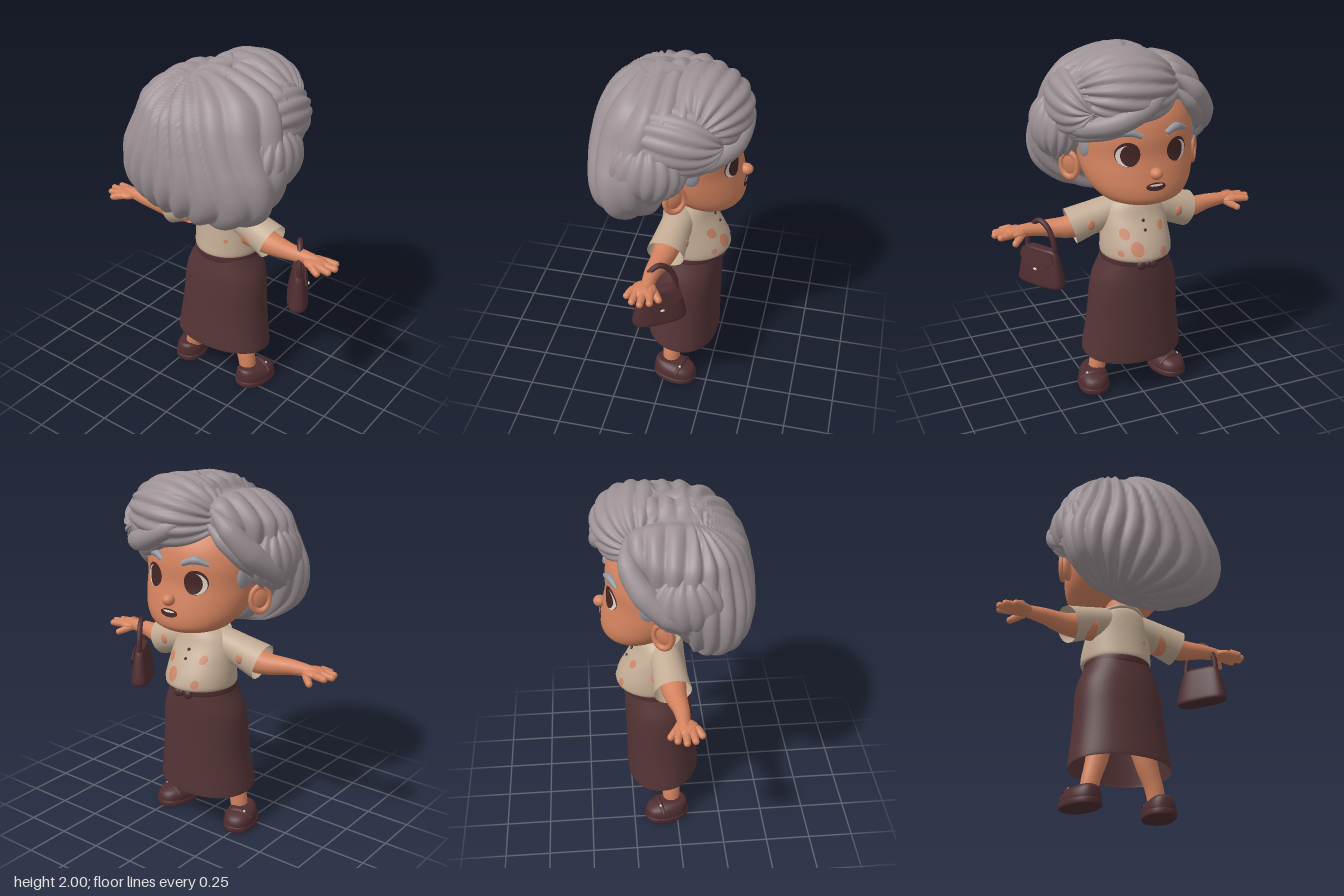
import * as THREE from 'three';
import { mergeVertices } from 'three/addons/utils/BufferGeometryUtils.js';

const mat = (name, color) => {
  const m = new THREE.MeshStandardMaterial({ color, side: THREE.DoubleSide });
  m.name = name;
  return m;
};

// One component of a smooth curve through the listed cross-sections
const cr = (a, b, c, d, t) => 0.5 * (2 * b + (c - a) * t + (2 * a - 5 * b + 4 * c - d) * t * t + (3 * b - a - 3 * c + d) * t * t * t);

// Section = [y, centre x, half width, front z, back z]
function sample(secs, t) {
  const n = secs.length - 1, f = Math.min(t, 0.99999) * n, i = Math.floor(f);
  const g = k => secs[Math.max(0, Math.min(n, k))];
  return secs[0].map((_, k) => cr(g(i - 1)[k], g(i)[k], g(i + 1)[k], g(i + 2)[k], f - i));
}

// Stack of super-elliptic rings
function loft(secs, { n = 40, rows = 24, e = 2, caps = true } = {}) {
  const pos = [], idx = [];
  for (let i = 0; i <= rows; i++) {
    const [y, cx, hx, zf, zb] = sample(secs, i / rows);
    for (let j = 0; j < n; j++) {
      const a = j / n * Math.PI * 2, s = Math.sin(a), c = Math.cos(a);
      pos.push(cx + hx * Math.sign(s) * Math.abs(s) ** (2 / e), y,
        (zf + zb) / 2 + (zb - zf) / 2 * Math.sign(c) * Math.abs(c) ** (2 / e));
      if (i < rows) {
        const p = i * n + j, q = i * n + (j + 1) % n;
        idx.push(p, q, q + n, p, q + n, p + n);
      }
    }
  }
  if (caps) [0, rows].forEach((r, k) => {
    const [y, cx, , zf, zb] = sample(secs, r / rows), v = pos.length / 3;
    pos.push(cx, y, (zf + zb) / 2);
    for (let j = 0; j < n; j++) {
      const p = r * n + j, q = r * n + (j + 1) % n;
      k ? idx.push(p, q, v) : idx.push(q, p, v);
    }
  });
  const g = new THREE.BufferGeometry();
  g.setAttribute('position', new THREE.Float32BufferAttribute(pos, 3));
  g.setIndex(idx);
  g.computeVertexNormals();
  return g;
}

// z of a loft's front (-1) or back (+1) surface at x, y
function surfaceZ(secs, x, y, side) {
  let lo = 0, hi = 1;
  for (let i = 0; i < 24; i++) {
    const m = (lo + hi) / 2;
    sample(secs, m)[0] < y ? lo = m : hi = m;
  }
  const [, cx, hx, zf, zb] = sample(secs, lo);
  return (zf + zb) / 2 + side * (zb - zf) / 2 * Math.sqrt(Math.max(0, 1 - ((x - cx) / hx) ** 2));
}

// Thin oval laid over a loft
function patch(secs, x, y, rx, ry, lift, side = -1) {
  const g = new THREE.RingGeometry(0.001, 1, 28, 5).scale(rx, ry, 1).translate(x, y, 0);
  const p = g.attributes.position;
  for (let i = 0; i < p.count; i++) p.setZ(i, surfaceZ(secs, p.getX(i), p.getY(i), side) + side * lift);
  if (side < 0) g.index.array.reverse();
  g.computeVertexNormals();
  return g;
}

// Tube with a changing radius
function sweep(pts, radii, n = 14, seg = 20) {
  const curve = new THREE.CatmullRomCurve3(pts.map(p => new THREE.Vector3(...p)));
  let g = new THREE.TubeGeometry(curve, seg, 1, n);
  const p = g.attributes.position, v = new THREE.Vector3();
  for (let i = 0; i < p.count; i++) {
    const t = Math.floor(i / (n + 1)) / seg, c = curve.getPointAt(t);
    const f = t * (radii.length - 1), k = Math.min(Math.floor(f), radii.length - 2);
    v.fromBufferAttribute(p, i).sub(c).multiplyScalar(radii[k] + (radii[k + 1] - radii[k]) * (f - k)).add(c);
    p.setXYZ(i, v.x, v.y, v.z);
  }
  g.deleteAttribute('normal');
  g.deleteAttribute('uv');
  g = mergeVertices(g, 1e-5);
  g.computeVertexNormals();
  return g;
}

// Push the surface along its normals by a rule
function displace(g, rule) {
  const p = g.attributes.position, m = g.attributes.normal;
  for (let i = 0; i < p.count; i++) {
    const d = rule(p.getX(i), p.getY(i), p.getZ(i));
    p.setXYZ(i, p.getX(i) + m.getX(i) * d, p.getY(i) + m.getY(i) * d, p.getZ(i) + m.getZ(i) * d);
  }
  g.computeVertexNormals();
  return g;
}

const ball = (x, y, z, rx, ry = rx, rz = rx) => new THREE.SphereGeometry(1, 20, 12).scale(rx, ry, rz).translate(x, y, z);

// Rounded strand profile with sharp valleys, and an egg of strands running between its poles
const groove = a => Math.abs(Math.sin(a)) - 0.6;
function lobe(center, half, axis, count, twist) {
  const g = displace(new THREE.SphereGeometry(1, 120, 32), (x, y, z) =>
    0.08 * groove(Math.atan2(z, x) * count + y * twist) * Math.min(1, Math.hypot(x, z) / 0.4));
  if (axis === 'x') g.rotateZ(-Math.PI / 2);
  if (axis === 'z') g.rotateX(Math.PI / 2);
  g.scale(...half).translate(...center).computeVertexNormals();
  return g;
}

export function createModel() {
  const root = new THREE.Group();
  root.name = 'grandmother';
  const hair = mat('hair grey', 0x9c9195), skin = mat('skin', 0xd4835f), shirt = mat('shirt beige', 0xc2ab94);
  const skirt = mat('skirt brown', 0x553436), leather = mat('leather brown', 0x4f2d30), spot = mat('spot coral', 0xcb8668);
  const white = mat('eye white', 0xddd3c8), dark = mat('eye brown', 0x452625), brow = mat('brow grey', 0x95969e);
  const add = (name, g, m, parent = root) => {
    const o = new THREE.Mesh(g, m);
    o.name = name;
    parent.add(o);
    return o;
  };

  // Head and face
  const head = [[1.185, 0, 0.07, -0.31, -0.17], [1.2, 0, 0.15, -0.355, -0.1], [1.23, 0, 0.22, -0.388, -0.04], [1.29, 0, 0.275, -0.393, 0.05],
    [1.37, 0, 0.305, -0.38, 0.12], [1.46, 0, 0.315, -0.362, 0.15], [1.56, 0, 0.315, -0.36, 0.15], [1.66, 0, 0.29, -0.335, 0.14],
    [1.75, 0, 0.22, -0.27, 0.08], [1.8, 0, 0.1, -0.15, 0]];
  add('head', loft(head, { n: 56, rows: 40 }), skin);
  add('nose', ball(0, 1.38, -0.392, 0.034, 0.031, 0.036), skin);
  add('mouth', patch(head, 0, 1.31, 0.055, 0.022, 0.003), dark);
  add('teeth', patch(head, 0, 1.319, 0.038, 0.006, 0.006), white);
  add('neck', sweep([[0, 1.08, -0.08], [0, 1.16, -0.08], [0, 1.26, -0.1]], [0.085, 0.075, 0.08]), skin);
  for (const s of [-1, 1]) {
    add('lashes', patch(head, s * 0.136, 1.483, 0.062, 0.064, 0.002), dark);
    add('eyeWhite', patch(head, s * 0.139, 1.476, 0.055, 0.055, 0.004), white);
    add('iris', patch(head, s * 0.127, 1.478, 0.046, 0.056, 0.006), dark);
    add('eyebrow', sweep([[0.065, 1.578], [0.13, 1.6], [0.2, 1.578]].map(([x, y]) => [s * x, y, surfaceZ(head, x, y, -1) - 0.005]),
      [0.014, 0.022, 0.01]), brow);
    add('temple', ball(s * 0.29, 1.5, -0.14, 0.03, 0.08, 0.06), brow);
    const ear = add('ear', ball(0, 0, 0, 0.03, 0.078, 0.058), skin);
    ear.position.set(s * 0.345, 1.375, -0.07);
    ear.rotation.set(0, s * 0.6, -s * 0.15);
    const rim = add('earRim', new THREE.TorusGeometry(0.052, 0.014, 8, 24).scale(1, 1.3, 1), skin);
    rim.position.set(s * 0.36, 1.378, -0.085);
    rim.rotation.y = Math.PI / 2 + s * 0.6;
  }

  // Hair mass with strands combed away from the parting
  const mass = [[1.17, 0.01, 0.1, 0.06, 0.2], [1.185, 0.02, 0.24, 0.03, 0.28], [1.22, 0.02, 0.33, 0.01, 0.34], [1.3, 0.02, 0.425, -0.02, 0.395],
    [1.4, 0.02, 0.47, -0.07, 0.42], [1.51, 0.02, 0.48, -0.13, 0.418], [1.6, 0.02, 0.46, -0.2, 0.405], [1.69, 0.02, 0.435, -0.27, 0.385],
    [1.78, 0.02, 0.41, -0.3, 0.35], [1.86, 0.04, 0.345, -0.31, 0.29], [1.91, 0.05, 0.265, -0.29, 0.225], [1.95, 0.05, 0.16, -0.25, 0.15],
    [1.975, 0.05, 0.06, -0.18, 0.05]];
  add('hair', displace(loft(mass, { n: 230, rows: 60, e: 2.15 }), (x, y, z) => {
    const dx = x + 0.13, far = Math.min(1, Math.hypot(dx, Math.max(0, z - 0.08)) / 0.12);
    const s = z > 0.08 ? Math.atan2(dx, z - 0.08) : Math.sign(dx) * (Math.PI / 2 + (0.08 - z) * 3.2);
    const parting = 0.04 * Math.exp(-((dx / 0.04) ** 2)) * THREE.MathUtils.smoothstep(y, 1.72, 1.88);
    return 0.026 * far * groove(s * 11 + 0.9 * Math.sin(y * 7 + s * 2)) - parting;
  }), hair);

  // Swept quiff, the roll beside it, and the fuller sides above the ears
  add('quiff', lobe([0.09, 1.785, -0.18], [0.275, 0.207, 0.245], 'x', 8, 1.2), hair);
  add('hairRoll', lobe([0.315, 1.71, -0.07], [0.15, 0.185, 0.245], 'z', 7, 1.5), hair);
  add('hairSide', lobe([0.38, 1.565, 0.05], [0.135, 0.17, 0.2], 'y', 8, 1), hair);
  add('hairSide', lobe([-0.345, 1.57, 0.04], [0.13, 0.17, 0.2], 'y', 8, -1), hair);

  // Separate locks around the hairline
  const locks = [
    [[[-0.12, 1.84, -0.3], [0.03, 1.74, -0.38], [0.2, 1.66, -0.35], [0.34, 1.62, -0.24], [0.42, 1.6, -0.08]], 0.062],
    [[[-0.1, 1.8, -0.3], [0.06, 1.69, -0.34], [0.2, 1.61, -0.3], [0.32, 1.57, -0.2], [0.4, 1.53, -0.04]], 0.045],
    [[[-0.14, 1.86, -0.24], [-0.26, 1.77, -0.25], [-0.35, 1.64, -0.18], [-0.41, 1.52, -0.05], [-0.42, 1.42, 0.08]], 0.068],
    [[[-0.13, 1.8, -0.26], [-0.24, 1.7, -0.26], [-0.32, 1.6, -0.19], [-0.36, 1.51, -0.08], [-0.38, 1.42, 0.05]], 0.045]];
  locks.forEach(([p, r]) => add('hairLock', sweep(p, [0.004, r * 0.8, r, r * 0.85, 0.004], 16, 32), hair));

  // Blouse
  const torso = [[0.845, 0, 0.178, -0.285, 0.07], [0.86, 0, 0.195, -0.322, 0.08], [0.92, 0, 0.195, -0.308, 0.072], [1, 0, 0.187, -0.265, 0.062],
    [1.07, 0, 0.178, -0.222, 0.055], [1.13, 0, 0.15, -0.195, 0.045], [1.165, 0, 0.1, -0.17, 0.025], [1.18, 0, 0.06, -0.14, 0]];
  add('blouse', loft(torso, { n: 48, rows: 32 }), shirt);
  const collar = new THREE.Group();
  collar.name = 'collar';
  collar.position.set(0, 1.142, -0.092);
  collar.rotation.x = -0.36;
  root.add(collar);
  const wrap = Math.PI * 2 - 0.4;
  add('collarBand', new THREE.CylinderGeometry(0.085, 0.137, 0.06, 40, 3, true, Math.PI + 0.2, wrap), shirt, collar);
  add('collarEdge', new THREE.TorusGeometry(0.136, 0.01, 8, 40, wrap).rotateZ(-Math.PI / 2 + 0.2).rotateX(Math.PI / 2).translate(0, -0.03, 0), shirt, collar);
  [[0.06, 0.925, 0.034], [-0.09, 0.895, 0.02], [0.11, 1.0, 0.025], [-0.1, 1.02, 0.02], [0.14, 0.9, 0.014]]
    .forEach(([x, y, r]) => add('spot', patch(torso, x, y, r, r * 1.15, 0.003), spot));
  add('spot', patch(torso, 0.09, 0.955, 0.012, 0.012, 0.003, 1), spot);
  add('placket', patch(torso, 0, 0.97, 0.014, 0.1, 0.004), shirt);
  [1.06, 1.015].forEach(y => add('button', ball(0, y, surfaceZ(torso, 0, y, -1) - 0.002, 0.009), dark));

  // Skirt with a tilted hem, and belt with a bow
  const skirtSecs = [[0.235, 0, 0.29, -0.27, 0.14], [0.26, 0, 0.289, -0.272, 0.14], [0.38, 0, 0.272, -0.272, 0.126], [0.5, 0, 0.258, -0.273, 0.115],
    [0.62, 0, 0.25, -0.275, 0.105], [0.71, 0, 0.234, -0.277, 0.095], [0.79, 0, 0.2, -0.277, 0.08], [0.85, 0, 0.176, -0.275, 0.068]];
  const skirtGeo = loft(skirtSecs, { n: 56, rows: 32, e: 2.15, caps: false }), sp = skirtGeo.attributes.position;
  for (let i = 0; i < sp.count; i++) sp.setY(i, sp.getY(i) + (sp.getZ(i) + 0.065) * 0.12 * Math.max(0, (0.85 - sp.getY(i)) / 0.6));
  skirtGeo.computeVertexNormals();
  add('skirt', skirtGeo, skirt);
  add('belt', loft([[0.815, 0, 0.186, -0.285, 0.076], [0.82, 0, 0.189, -0.288, 0.079], [0.85, 0, 0.184, -0.29, 0.078], [0.856, 0, 0.178, -0.287, 0.074]], { rows: 8 }), leather);
  add('bowKnot', ball(0, 0.832, -0.297, 0.018, 0.02, 0.016), leather);

  for (const s of [-1, 1]) {
    add('bowLoop', ball(s * 0.034, 0.825, -0.288, 0.028, 0.026, 0.018), leather);

    // Sleeves, arms and hands
    add('sleeve', sweep([[s * 0.08, 1.085, -0.06], [s * 0.2, 1.052, -0.045], [s * 0.345, 1.006, -0.03]], [0.085, 0.09, 0.102], 28), shirt);
    add('sleeveSpot', ball(s * 0.26, 1.035, -0.124, 0.026, 0.03, 0.014), spot);
    add('arm', sweep([[s * 0.2, 1.02, -0.03], [s * 0.36, 1, -0.02], [s * 0.5, 1.008, 0], [s * 0.61, 1.012, 0.002], [s * 0.66, 1.012, 0.005]],
      [0.076, 0.07, 0.058, 0.046, 0.037, 0.028], 20), skin);
    add('palm', ball(s * 0.645, 1.008, 0.012, 0.068, 0.028, 0.066), skin);
    [[0.695, 0.998, 0.088], [0.74, 1.003, 0.05], [0.755, 1.006, 0.005], [0.735, 1.006, -0.04], [0.665, 0.972, -0.07]].forEach(([x, y, z], i) => {
      const r = 0.021, base = i === 4 ? [s * 0.61, 1, -0.02] : [s * 0.65, 1.01, z * 0.7 + 0.004];
      add(i === 4 ? 'thumb' : 'finger', sweep([base, [s * x, y, z]], [r, r, r * 0.85], 10, 6), skin);
      add('fingertip', ball(s * x, y, z, r * 0.87), skin);
    });

    // Legs and shoes
    add('leg', sweep([[s * 0.12, 0.45, -0.06], [s * 0.15, 0.28, -0.04], [s * 0.19, 0.15, -0.03], [s * 0.205, 0.06, -0.03]], [0.08, 0.065, 0.052, 0.048]), skin);
    const shoe = new THREE.Group();
    shoe.name = 'shoe';
    shoe.position.set(s * 0.232, 0, -0.055);
    shoe.rotation.y = -s * 0.25;
    root.add(shoe);
    add('shoeUpper', loft([[0.02, 0, 0.084, -0.128, 0.118], [0.05, 0, 0.086, -0.13, 0.12], [0.08, 0, 0.078, -0.115, 0.118],
      [0.1, 0, 0.062, -0.075, 0.112], [0.11, 0, 0.045, -0.035, 0.1]], { e: 2.3, rows: 16 }), leather, shoe);
    add('sole', loft([[0, 0, 0.083, -0.127, 0.118], [0.008, 0, 0.09, -0.133, 0.124], [0.03, 0, 0.09, -0.133, 0.124], [0.036, 0, 0.084, -0.128, 0.12]], { e: 2.3, rows: 8 }), leather, shoe);
    add('shoeStrap', sweep([[-0.075, 0.07, -0.045], [-0.03, 0.1, -0.05], [0.03, 0.1, -0.05], [0.075, 0.07, -0.045]], [0.014, 0.016, 0.014], 10), leather, shoe);
    add('buckle', ball(s * 0.04, 0.108, -0.055, 0.007), white, shoe);
  }

  // Handbag hanging aslant from one arm
  const bag = new THREE.Group();
  bag.name = 'handbag';
  bag.position.set(0.515, 0, -0.036);
  bag.rotation.y = 0.56;
  root.add(bag);
  add('bagBody', loft([[0.7, 0, 0.045, -0.13, 0.13], [0.712, 0, 0.058, -0.148, 0.148], [0.75, 0, 0.056, -0.145, 0.145], [0.82, 0, 0.046, -0.13, 0.13],
    [0.89, 0, 0.034, -0.112, 0.112], [0.915, 0, 0.022, -0.095, 0.095]], { e: 2.8 }), leather, bag);
  const flapShape = new THREE.Shape([[-0.1, 0.1], [-0.115, 0.05], [-0.06, 0], [0, -0.02], [0.06, 0], [0.115, 0.05], [0.1, 0.1]].map(p => new THREE.Vector2(...p)));
  const flap = add('bagFlap', new THREE.ExtrudeGeometry(flapShape, { depth: 0.008, bevelEnabled: false }).rotateY(Math.PI / 2), leather, bag);
  flap.position.set(0.046, 0.81, 0);
  flap.rotation.z = 0.17;
  add('clasp', ball(0.057, 0.805, 0, 0.006, 0.007, 0.012), white, bag);
  add('bagHandle', sweep([[0, 0.88, -0.095], [0, 0.97, -0.085], [0, 1.045, -0.045], [0, 1.07, 0],
    [0, 1.045, 0.045], [0, 0.97, 0.085], [0, 0.88, 0.095]], [0.015, 0.015], 10, 40), leather, bag);

  return root;
}
